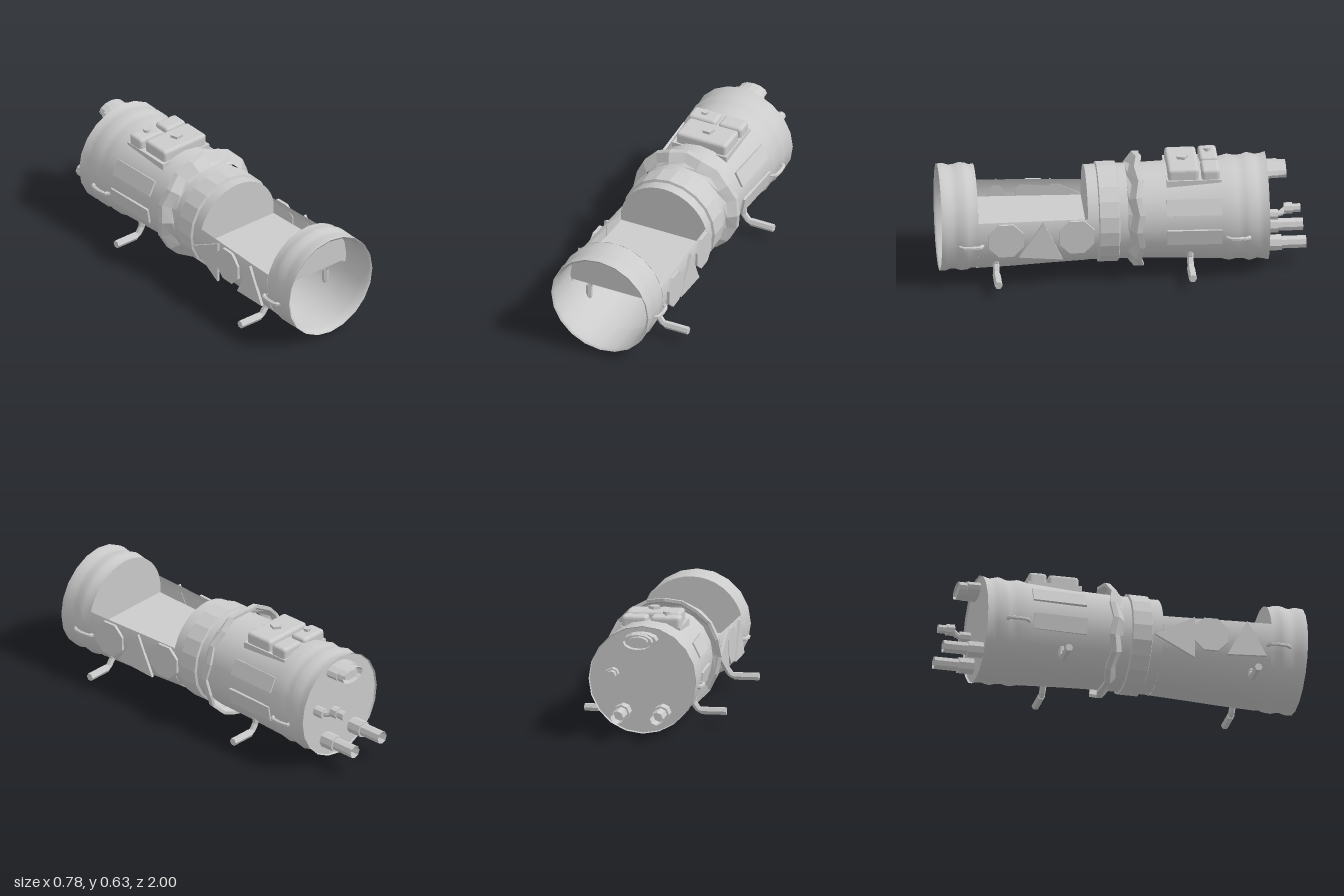
import * as THREE from 'three';
import { RoundedBoxGeometry } from 'three/addons/geometries/RoundedBoxGeometry.js';

const CY = 0.305; // height of the barrel axis
const smooth = new THREE.MeshStandardMaterial({ color: 0xcccccc, side: THREE.DoubleSide });
const flat = new THREE.MeshStandardMaterial({ color: 0xcccccc, side: THREE.DoubleSide, flatShading: true });

export function createModel() {
  const model = new THREE.Group();

  function add(name, geometry, material = flat, x = 0, y = 0, z = 0) {
    const mesh = new THREE.Mesh(geometry, material);
    mesh.name = name;
    mesh.position.set(x, y, z);
    model.add(mesh);
    return mesh;
  }
  // Turned shell along z from [z, radius] pairs; "half" is the angle kept each side of the bottom
  function shell(name, profile, half = Math.PI, material = smooth) {
    const points = profile.map(([z, r]) => new THREE.Vector2(r, z));
    const geometry = new THREE.LatheGeometry(points, 20, -half, half * 2).rotateX(Math.PI / 2);
    return add(name, geometry, material, 0, CY, 0);
  }
  // Disc across the barrel, or its part above / below a height measured from the axis
  function bulkhead(name, z, r, cut) {
    const pts = [];
    const a = cut === undefined ? -Math.PI / 2 : Math.asin(cut / r);
    const span = cut === undefined ? Math.PI * 2 : Math.PI - 2 * a;
    for (let i = 0; i <= 20; i++) {
      const t = a + span * i / 20;
      pts.push(new THREE.Vector2(r * Math.cos(t), r * Math.sin(t)));
    }
    return add(name, new THREE.ShapeGeometry(new THREE.Shape(pts)), flat, 0, CY, z);
  }
  // Cylinder lying along z
  function rod(name, r, z0, z1, x, y, sides = 8, r2 = r, open = false) {
    const geometry = new THREE.CylinderGeometry(r, r2, Math.abs(z1 - z0), sides, 1, open).rotateX(Math.PI / 2);
    return add(name, geometry, flat, x, y, (z0 + z1) / 2);
  }
  function path(points) {
    const curve = new THREE.CurvePath();
    for (let i = 1; i < points.length; i++) {
      curve.add(new THREE.LineCurve3(new THREE.Vector3(...points[i - 1]), new THREE.Vector3(...points[i])));
    }
    return curve;
  }

  // Barrel: ribbed mouth, cut-away trough and ribbed rear body
  shell('frontRing', [[1, 0.294], [0.97, 0.296], [0.94, 0.286], [0.91, 0.288], [0.88, 0.297],
    [0.85, 0.294], [0.83, 0.285], [0.8, 0.286]]);
  shell('trough', [[0.8, 0.286], [0.6, 0.28], [0.4, 0.27], [0.2, 0.262]], Math.PI / 2 + 0.295);
  shell('rearBody', [[0.2, 0.262], [-0.1, 0.263], [-0.3, 0.27], [-0.54, 0.282], [-0.58, 0.292],
    [-0.62, 0.284], [-0.66, 0.286], [-0.69, 0.297], [-0.73, 0.286], [-0.76, 0.288], [-0.79, 0.297]]);
  shell('mouthLining', [[1, 0.294], [0.99, 0.28], [0.94, 0.275], [0.8, 0.275]]);
  bulkhead('frontWall', 0.8, 0.286, -0.025);
  bulkhead('cockpitRearWall', 0.2, 0.262, -0.025);
  bulkhead('innerBulkhead', 0.1, 0.26);
  bulkhead('rearCap', -0.78, 0.292);

  // Cockpit floor, tapering to the rear, with a box beneath
  const floor = new THREE.Shape([[-0.28, -0.8], [0.28, -0.8], [0.258, -0.2], [-0.258, -0.2]]
    .map(([x, y]) => new THREE.Vector2(x, y)));
  add('cockpitFloor', new THREE.ExtrudeGeometry(floor, { depth: 0.008, bevelEnabled: false })
    .rotateX(-Math.PI / 2), flat, 0, 0.275, 0).scale.z = -1;
  model.getObjectByName('cockpitFloor').geometry.scale(1, 1, -1);
  model.getObjectByName('cockpitFloor').scale.z = 1;
  model.getObjectByName('cockpitFloor').rotation.z = Math.PI;
  model.getObjectByName('cockpitFloor').geometry.scale(1, -1, -1);
  add('underfloorBox', new THREE.BoxGeometry(0.13, 0.138, 0.2), flat, 0, 0.208, 0.35);

  // Raised collar and the wavy flared flange
  shell('collar', [[0.14, 0.262], [0.135, 0.276], [0.03, 0.276], [0.025, 0.262]], Math.PI, flat);
  const flange = shell('flange', [[-0.02, 0.262], [-0.035, 0.272], [-0.07, 0.315], [-0.1, 0.317],
    [-0.1, 0.3], [-0.065, 0.285], [-0.05, 0.262]], Math.PI, flat);
  flange.position.y = 0.316;
  const fp = flange.geometry.attributes.position;
  for (let i = 0; i < fp.count; i++) {
    const column = Math.floor(i / 7), row = i % 7;
    if (row > 0 && row < 6) fp.setZ(i, fp.getZ(i) + (column % 2 ? 0.009 : -0.009));
  }

  // Packs on the roof with their caps
  add('packBase', new THREE.BoxGeometry(0.33, 0.05, 0.3), flat, 0, 0.525, -0.385);
  for (const [name, x, z, w, d, top] of [['largePack', 0.005, -0.33, 0.3, 0.17, 0.613],
    ['smallPackRight', -0.08, -0.478, 0.165, 0.1, 0.608], ['smallPackLeft', 0.09, -0.478, 0.14, 0.1, 0.608]]) {
    add(name, new RoundedBoxGeometry(w, 0.09, d, 2, 0.018), flat, x, top - 0.045, z);
  }
  add('largeCapNeck', new THREE.CylinderGeometry(0.018, 0.018, 0.02, 8), flat, 0.01, 0.612, -0.33);
  add('largeCap', new THREE.CylinderGeometry(0.035, 0.035, 0.015, 5), flat, 0.01, 0.625, -0.33).rotation.y = Math.PI;
  add('smallCapNeck', new THREE.CylinderGeometry(0.01, 0.01, 0.02, 8), flat, -0.08, 0.61, -0.475);
  add('smallCap', new THREE.CylinderGeometry(0.02, 0.02, 0.014, 8), flat, -0.08, 0.623, -0.475);

  // Side panels, grab handles and foot pegs on both sides
  for (const s of [1, -1]) {
    for (const angle of [0.46, -0.16]) {
      const r = 0.272;
      const panel = add('sidePanel', new THREE.BoxGeometry(0.02, 0.09, 0.3), flat,
        s * r * Math.cos(angle), CY + r * Math.sin(angle), -0.38);
      panel.rotation.set(0, 0.035 * -s, s * angle);
    }
    for (const z of [0.84, -0.62]) {
      const pts = [[0.27, 0.255, z + 0.065], [0.3, 0.255, z + 0.05], [0.305, 0.255, z],
        [0.3, 0.255, z - 0.05], [0.27, 0.255, z - 0.065]].map(([x, y, w]) => [s * x, y, w]);
      add('grabHandle', new THREE.TubeGeometry(path(pts), 16, 0.011, 6));
    }
    for (const z of [0.7, -0.36]) {
      const inner = [[0.208, 0.185, z], [0.21, 0.11, z], [0.238, 0.072, z], [0.27, 0.066, z]];
      add('pegStem', new THREE.TubeGeometry(path(inner.map(([x, y, w]) => [s * x, y, w])), 12, 0.018, 6));
      add('footPeg', new THREE.CylinderGeometry(0.022, 0.022, 0.138, 6).rotateZ(Math.PI / 2), flat, s * 0.322, 0.067, z);
    }
  }

  // Flat plates along the trough: octagons and triangles
  const octagon = Array.from({ length: 8 }, (_, i) => {
    const t = Math.PI * (i + 0.5) / 4;
    return [0.103 * Math.cos(t), 0.103 * Math.sin(t)];
  });
  function plate(name, corners, side, z, y, x) {
    const shape = new THREE.Shape(corners.map(([a, b]) => new THREE.Vector2(a, b)));
    const geometry = new THREE.ExtrudeGeometry(shape, { depth: 0.016, bevelEnabled: false });
    geometry.translate(0, 0, -0.008).rotateY(-Math.PI / 2); // shape x runs along z
    add(name, geometry, flat, side * x, y, z).rotation.y = side * 0.035;
  }
  plate('octagonPlate', octagon, 1, 0.65, 0.285, 0.285);
  plate('octagonPlate', octagon, 1, 0.262, 0.285, 0.267);
  plate('trianglePlate', [[0.135, -0.1], [-0.105, -0.125], [0, 0.1]], 1, 0.445, 0.283, 0.277);
  plate('trianglePlate', [[0.1, 0.11], [0.1, -0.13], [-0.12, -0.01]], -1, 0.27, 0.27, 0.268);
  plate('octagonPlate', octagon, -1, 0.46, 0.285, 0.277);
  plate('trianglePlate', [[0.11, -0.1], [-0.11, -0.11], [0, 0.1]], -1, 0.66, 0.283, 0.286);

  // Exhaust pipes on the rear cap
  for (const x of [-0.113, 0.105]) {
    rod('exhaustCollar', 0.046, -0.77, -0.865, x, 0.13);
    rod('exhaustPipe', 0.036, -0.86, -1, x, 0.13, 8, 0.036, true);
    rod('exhaustPlug', 0.034, -0.86, -0.9, x, 0.13);
  }
  // Cranked hose with a nozzle
  rod('hoseSocket', 0.03, -0.77, -0.84, 0.175, 0.335);
  add('hose', new THREE.TubeGeometry(path([[0.175, 0.335, -0.8], [0.17, 0.335, -0.85], [0.145, 0.355, -0.89],
    [0.145, 0.355, -0.92]]), 12, 0.017, 8));
  rod('nozzleNut', 0.033, -0.875, -0.92, 0.145, 0.355);
  rod('nozzle', 0.025, -0.92, -0.965, 0.145, 0.355);

  // Oval vent at the top of the rear cap
  rod('ventBase', 0.042, -0.77, -0.85, 0.005, 0.53, 12).scale.x = 2.2;
  rod('ventRim', 0.042, -0.83, -0.895, 0.01, 0.53, 12, 0.042, true).scale.x = 1.9;
  rod('ventCore', 0.026, -0.83, -0.885, 0.01, 0.53, 12).scale.x = 2;
  return model;
}
